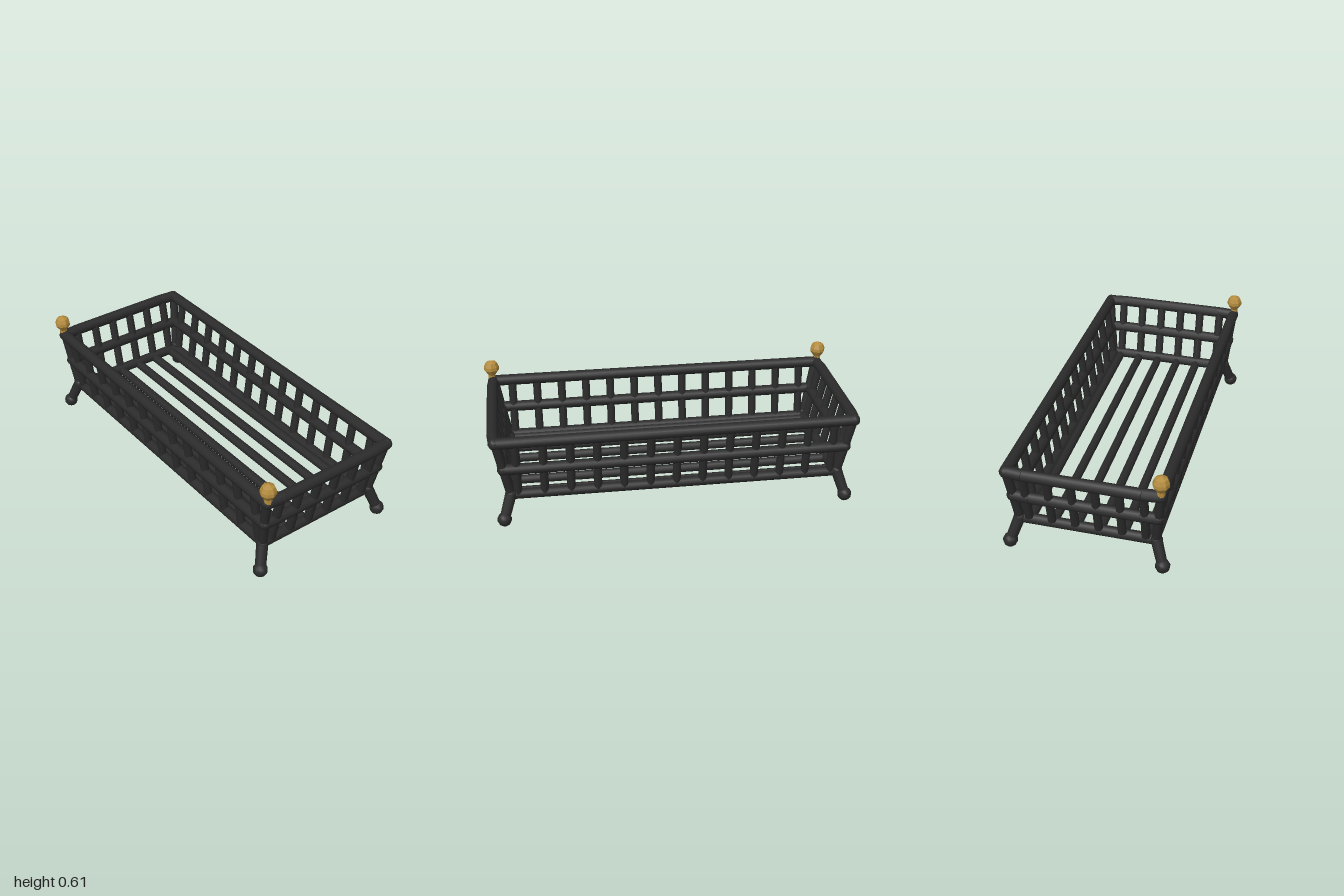
import * as THREE from 'three';

export function createModel() {
  const model = new THREE.Group();
  model.name = 'fireGrate';
  const iron = new THREE.MeshStandardMaterial({ color: 0x2b2b2b });
  iron.name = 'blackIron';
  const brass = new THREE.MeshStandardMaterial({ color: 0xb48c3e, flatShading: true });
  brass.name = 'brass';
  const up = new THREE.Vector3(0, 1, 0);

  // Round bar between two points
  function bar(name, from, to, r0, r1 = r0, sides = 10) {
    const a = new THREE.Vector3(...from), b = new THREE.Vector3(...to);
    const dir = b.clone().sub(a);
    const mesh = new THREE.Mesh(new THREE.CylinderGeometry(r1, r0, dir.length(), sides), iron);
    mesh.name = name;
    mesh.position.copy(a).add(b).multiplyScalar(0.5);
    mesh.quaternion.setFromUnitVectors(up, dir.normalize());
    model.add(mesh);
  }

  function ball(name, p, r) {
    const mesh = new THREE.Mesh(new THREE.SphereGeometry(r, 10, 7), iron);
    mesh.name = name;
    mesh.position.set(...p);
    model.add(mesh);
  }

  // Three rectangular hoops, narrowing downwards; side bars bow out slightly
  const rings = [
    { name: 'topRail', x: 0.95, y: 0.484, z: 0.39, r: 0.031, bow: 0.008 },
    { name: 'middleRail', x: 0.916, y: 0.322, z: 0.375, r: 0.03, bow: 0.004 },
    { name: 'bottomRail', x: 0.876, y: 0.157, z: 0.346, r: 0.028, bow: 0 },
  ];
  for (const { name, x, y, z, r, bow } of rings) {
    for (const s of [-1, 1]) {
      bar(name, [-x, y, s * z], [x, y, s * z], r);
      const side = [[x, -z], [x + bow, -z + 0.09], [x + bow, z - 0.09], [x, z]];
      for (let i = 0; i < 3; i++) {
        bar(name, [s * side[i][0], y, side[i][1]], [s * side[i + 1][0], y, side[i + 1][1]], r);
      }
      for (const t of [-1, 1]) ball(name + 'Corner', [s * x, y, t * z], r * 1.03);
    }
  }

  // Front and back uprights
  for (const s of [-1, 1]) {
    for (let i = -6; i <= 6; i++) {
      const x = i * 0.141;
      bar('upright', [x, 0.16, s * 0.35], [x, 0.484, s * 0.39], 0.0225, 0.0225, 8);
    }
  }

  // End uprights and the floor bars in line with them
  for (let i = 0; i < 6; i++) {
    const z = (i - 2.5) * 0.122;
    for (const s of [-1, 1]) {
      bar('endUpright', [s * 0.888, 0.178, z], [s * 0.952, 0.484, z], 0.0235, 0.0235, 8);
    }
    bar('floorBar', [-0.88, 0.149, z], [0.88, 0.149, z], 0.025, 0.025, 8);
  }

  // Corner posts, splayed legs and ball feet
  for (const sx of [-1, 1]) {
    for (const sz of [-1, 1]) {
      const knee = [sx * 0.884, 0.165, sz * 0.357];
      const foot = [sx * 0.926, 0.038, sz * 0.4];
      bar('cornerPost', knee, [sx * 0.946, 0.484, sz * 0.39], 0.024);
      bar('leg', foot, knee, 0.028, 0.031);
      ball('knee', knee, 0.032);
      ball('foot', foot, 0.039);
    }
  }

  // Brass finials on the two front corners
  const profile = [[0, 0.495], [0.021, 0.495], [0.021, 0.522], [0.043, 0.555],
    [0.042, 0.573], [0.032, 0.596], [0, 0.61]].map(p => new THREE.Vector2(...p));
  for (const s of [-1, 1]) {
    const finial = new THREE.Mesh(new THREE.LatheGeometry(profile, 8), brass);
    finial.name = 'finial';
    finial.position.set(s * 0.957, 0, 0.393);
    model.add(finial);
  }
  return model;
}
